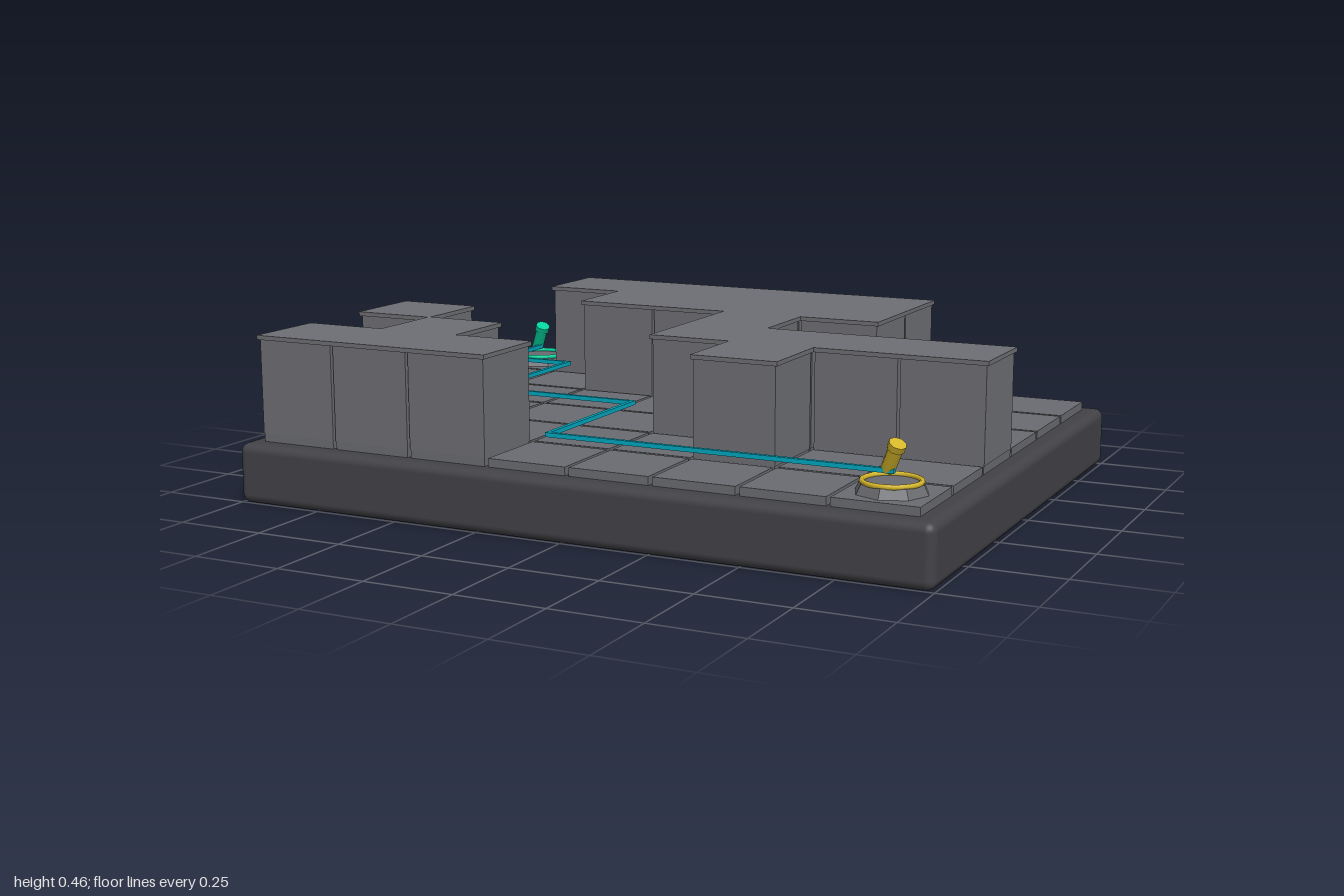
import * as THREE from 'three';
import { RoundedBoxGeometry } from 'three/addons/geometries/RoundedBoxGeometry.js';

// '#' is a wall block, '.' an open floor tile; first row is the back
const MAZE = [
  '.#####..',
  '..####..',
  '....#...',
  '#...####',
  '.#...#..',
  '###.....',
];
const CELL = 0.238;
const cellX = (c) => (c - 3.5) * CELL;
const cellZ = (r) => (r - 2.5) * CELL;

function material(name, color) {
  const m = new THREE.MeshStandardMaterial({ color });
  m.name = name;
  return m;
}

export function createModel() {
  const model = new THREE.Group();
  model.name = 'mazeBoard';

  const baseMat = material('charcoal', 0x434247);
  const tileMat = material('floorGrey', 0x6b6c71);
  const wallMat = material('wallGrey', 0x6e6f74);
  const pathMat = material('cyan', 0x00a9c0);
  const goldMat = material('gold', 0xd4b52a);
  const tealMat = material('teal', 0x00d29c);

  const add = (parent, name, geometry, mat, x = 0, y = 0, z = 0) => {
    const mesh = new THREE.Mesh(geometry, mat);
    mesh.name = name;
    mesh.position.set(x, y, z);
    parent.add(mesh);
    return mesh;
  };

  // Base slab with softened edges
  add(model, 'base', new RoundedBoxGeometry(2, 0.167, 1.52, 3, 0.025), baseMat, 0, 0.0835, 0);

  // Floor tiles, wall blocks and their thin caps
  const tileGeo = new THREE.BoxGeometry(0.227, 0.03, 0.227);
  const wallGeo = new THREE.BoxGeometry(0.23, 0.262, 0.23);
  const capGeo = new THREE.BoxGeometry(0.243, 0.012, 0.243);
  MAZE.forEach((row, r) => [...row].forEach((cell, c) => {
    const x = cellX(c), z = cellZ(r);
    add(model, 'floorTile', tileGeo, tileMat, x, 0.175, z);
    if (cell === '#') {
      add(model, 'wallBlock', wallGeo, wallMat, x, 0.321, z);
      add(model, 'wallCap', capGeo, wallMat, x, 0.456, z);
    }
  }));

  // Route line through the open tiles, as [column, row] corners
  const route = [[0, 0], [0, 1], [1, 1], [1, 3], [3, 3], [3, 5], [7, 5]];
  const path = new THREE.Group();
  path.name = 'routeLine';
  model.add(path);
  for (let i = 1; i < route.length; i++) {
    const [c0, r0] = route[i - 1], [c1, r1] = route[i];
    const w = Math.abs(c1 - c0) * CELL + 0.012;
    const d = Math.abs(r1 - r0) * CELL + 0.012;
    add(path, 'routeSegment', new THREE.BoxGeometry(w, 0.012, d), pathMat,
      (cellX(c0) + cellX(c1)) / 2, 0.242, (cellZ(r0) + cellZ(r1)) / 2);
  }

  // Start and goal markers: octagonal foot, ring and tilted peg
  const footGeo = new THREE.CylinderGeometry(0.082, 0.095, 0.026, 8).toNonIndexed();
  footGeo.computeVertexNormals();
  const ringGeo = new THREE.TorusGeometry(0.073, 0.007, 8, 32).rotateX(Math.PI / 2);
  const stemGeo = new THREE.CylinderGeometry(0.019, 0.019, 0.08, 8);
  const headGeo = new THREE.CylinderGeometry(0.023, 0.023, 0.018, 8);
  const lean = new THREE.Vector3(0.035, 0.076, 0.024).normalize();
  const addMarker = (name, c, r, mat) => {
    const marker = new THREE.Group();
    marker.name = name;
    marker.position.set(cellX(c), 0, cellZ(r));
    model.add(marker);
    add(marker, 'foot', footGeo, tileMat, 0, 0.202, 0);
    add(marker, 'ring', ringGeo, mat, 0, 0.218, 0);
    const peg = new THREE.Group();
    peg.name = 'peg';
    peg.position.y = 0.276;
    peg.quaternion.setFromUnitVectors(new THREE.Vector3(0, 1, 0), lean);
    marker.add(peg);
    add(peg, 'stem', stemGeo, mat);
    add(peg, 'head', headGeo, mat, 0, 0.034, 0);
  };
  addMarker('startMarker', 0, 0, tealMat);
  addMarker('goalMarker', 7, 5, goldMat);

  return model;
}
